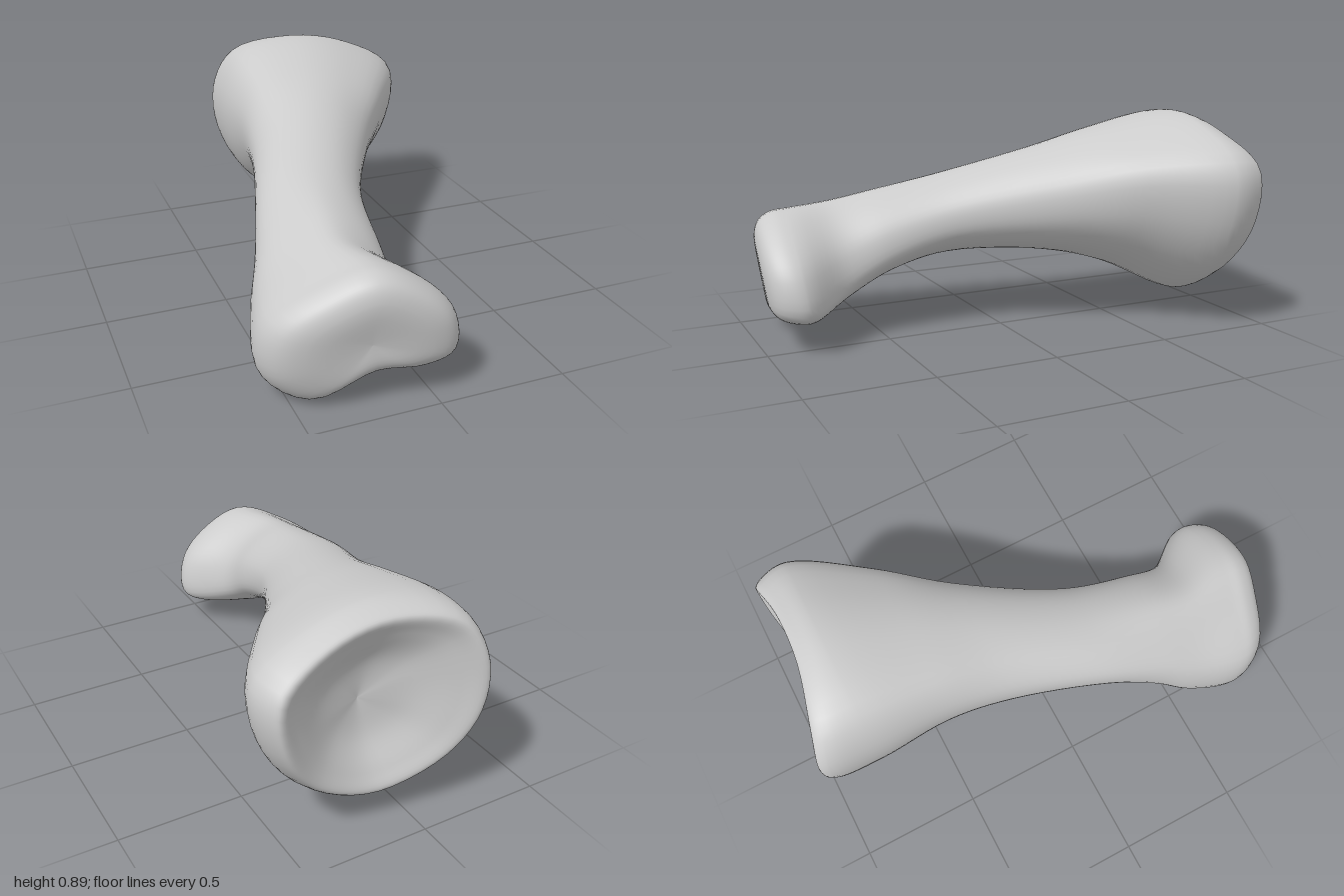
import * as THREE from 'three';

const AROUND = 48, STEPS = 6;
const { lerp, smoothstep } = THREE.MathUtils;

// Outlines in a unit square, from the top and clockwise seen from the front
const SOCKET = [[-0.16, 1], [0.45, 0.86], [0.95, 0.5], [0.9, -0.15], [0.52, -0.72],
  [-0.1, -1], [-0.7, -0.7], [-0.97, -0.2], [-1, 0.4], [-0.78, 0.85]];
const CONDYLE = [[0.07, 1], [0.6, 0.66], [0.92, 0.18], [0.97, -0.4], [0.67, -0.59],
  [0.1, -0.59], [-0.56, -1], [-0.95, -0.55], [-0.92, 0.25], [-0.42, 0.77]];

// Body sections from back to front: z, x min, x max, y min, y max
const BODY = [
  [-0.76, -0.27, 0.605, 0.11, 0.893],
  [-0.46, -0.265, 0.42, 0.245, 0.825],
  [-0.2, -0.305, 0.235, 0.305, 0.75],
  [0.2, -0.42, 0.03, 0.3, 0.635],
  [0.45, -0.495, -0.015, 0.2, 0.58],
  [0.62, -0.56, -0.01, 0.08, 0.545],
  [0.8, -0.61, 0.115, 0.003, 0.535],
];

// End caps as [scale of the end section, shift in z]: a hollow socket and a dished face
const BACK_CAP = [[0, -0.01], [0.4, -0.04], [0.72, -0.105], [0.9, -0.135], [0.97, -0.09]];
const FRONT_CAP = [[0.97, 0.07], [0.85, 0.125], [0.6, 0.155], [0, 0.15]];

// How each section bends in z: a saddle-shaped socket rim and slanted front lobes
const rimBend = (u, v) => 0.04 * u - 0.07 * u * u + 0.02 * v * v;
const lobeBend = (u, v) => 0.06 * u + 0.04 * v;

// Smooth closed ring: round in mid shaft, blending to the outline of the nearer end
function ring([z, x0, x1, y0, y1], bend, scale = 1, shift = 0) {
  const outline = z < 0 ? SOCKET : CONDYLE;
  const blend = z < 0 ? smoothstep(-z, 0, 0.6) : smoothstep(z, 0.1, 0.7);
  const points = outline.map(([ou, ov], i) => {
    const angle = i * Math.PI * 2 / outline.length;
    const u = lerp(Math.sin(angle), ou, blend);
    const v = lerp(Math.cos(angle), ov, blend);
    return new THREE.Vector3(
      (x0 + x1) / 2 + scale * u * (x1 - x0) / 2,
      (y0 + y1) / 2 + scale * v * (y1 - y0) / 2,
      z + shift + scale * blend * bend(u, v));
  });
  const curve = new THREE.CatmullRomCurve3(points, true);
  return Array.from({ length: AROUND }, (_, j) => curve.getPoint(j / AROUND));
}

// Smooth skin along rails that join the rings
function loft(rings) {
  const along = (rings.length - 1) * STEPS;
  const rails = rings[0].map((_, j) => new THREE.CatmullRomCurve3(rings.map((r) => r[j])));
  const positions = [], index = [];
  for (let i = 0; i <= along; i++) {
    for (const rail of rails) positions.push(...rail.getPoint(i / along).toArray());
  }
  for (let i = 0; i < along; i++) {
    for (let j = 0; j < AROUND; j++) {
      const a = i * AROUND + j, b = i * AROUND + (j + 1) % AROUND;
      const c = a + AROUND, d = b + AROUND;
      if (i > 0) index.push(a, c, b);
      if (i < along - 1) index.push(b, c, d);
    }
  }
  // The first and last rings are single points, closed by one triangle per side
  const geometry = new THREE.BufferGeometry();
  geometry.setAttribute('position', new THREE.Float32BufferAttribute(positions, 3));
  geometry.setIndex(index);
  geometry.computeVertexNormals();
  return geometry;
}

export function createModel() {
  const group = new THREE.Group();
  group.name = 'boneModel';

  const flat = () => 0;
  const rings = [
    ...BACK_CAP.map(([scale, shift]) => ring(BODY[0], rimBend, scale, shift)),
    ...BODY.map((section) => ring(section, section[0] > 0 ? lobeBend : flat)),
    ...FRONT_CAP.map(([scale, shift]) => ring(BODY[BODY.length - 1], lobeBend, scale, shift)),
  ];
  const bone = new THREE.Mesh(loft(rings), new THREE.MeshStandardMaterial({ color: 0xcccccc }));
  bone.name = 'bone';
  group.add(bone);
  return group;
}
